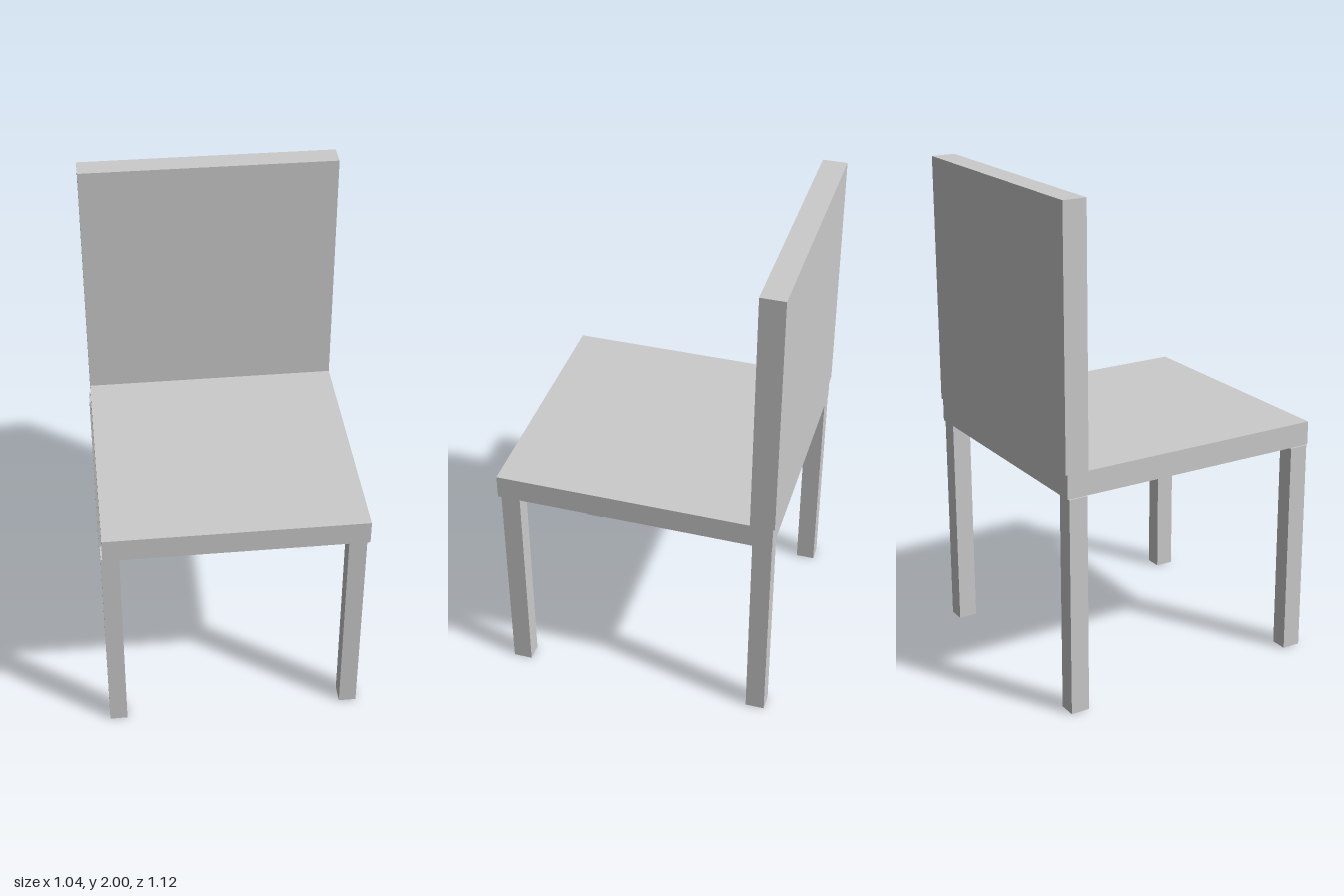
import * as THREE from 'three';

const material = new THREE.MeshStandardMaterial({ color: 0xcccccc, flatShading: true });

// Box given by its lower and upper limits on each axis
function slab(name, [x0, x1], [y0, y1], [z0, z1]) {
  const mesh = new THREE.Mesh(new THREE.BoxGeometry(x1 - x0, y1 - y0, z1 - z0), material);
  mesh.position.set((x0 + x1) / 2, (y0 + y1) / 2, (z0 + z1) / 2);
  mesh.name = name;
  return mesh;
}

export function createModel() {
  const chair = new THREE.Group();
  chair.name = 'chair';

  // Seat panel and upright backrest
  chair.add(slab('seat', [-0.518, 0.52], [0.888, 0.985], [-0.553, 0.56]));
  chair.add(slab('backrest', [-0.518, 0.52], [0.985, 2], [-0.56, -0.463]));

  // Four square legs, set slightly towards the right
  const sides = { Right: [-0.525, -0.454], Left: [0.439, 0.51] };
  const ends = { front: [0.473, 0.55], back: [-0.55, -0.473] };
  for (const [end, z] of Object.entries(ends)) {
    for (const [side, x] of Object.entries(sides)) {
      chair.add(slab(`${end}${side}Leg`, x, [0, 0.888], z));
    }
  }
  return chair;
}
